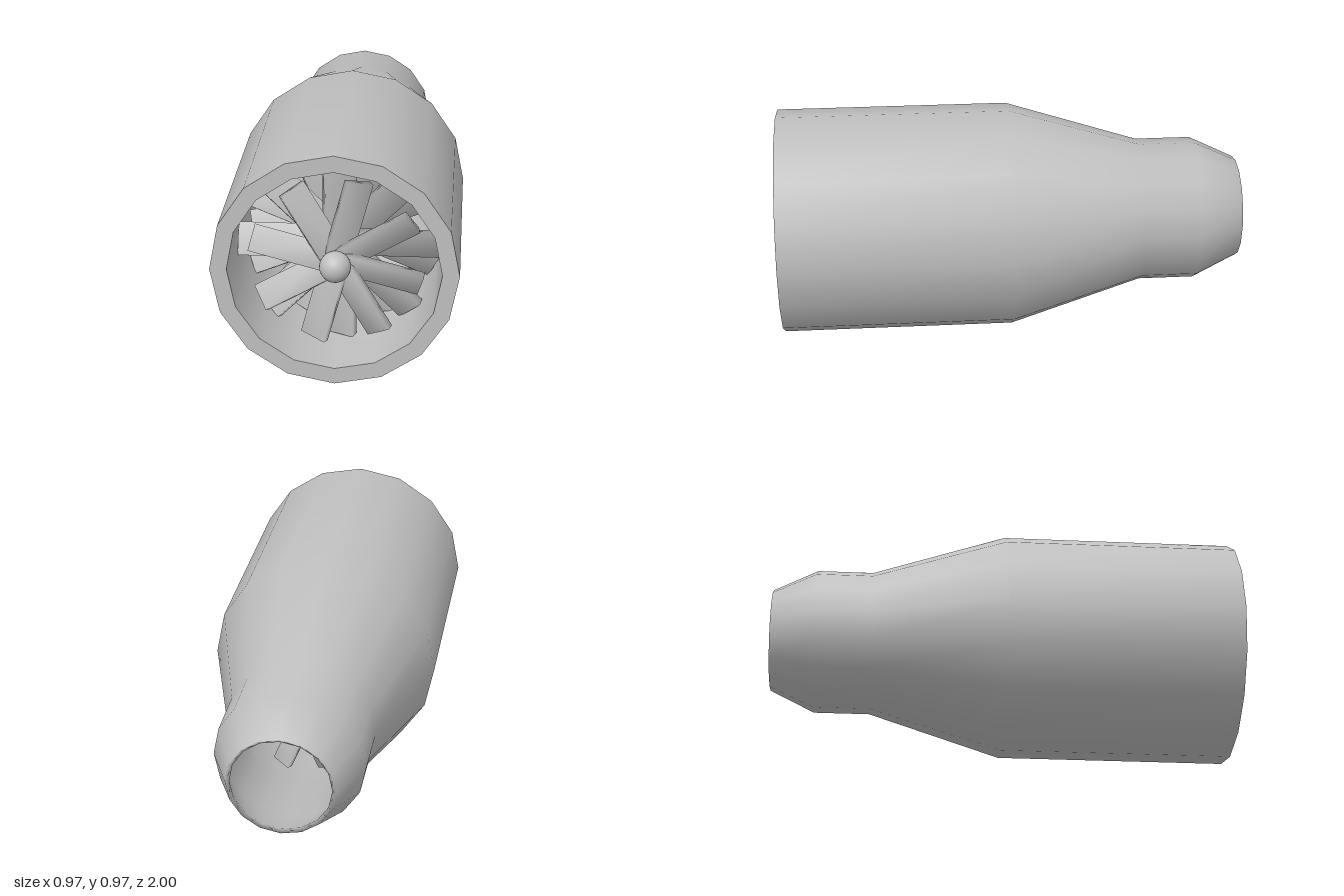
import * as THREE from 'three';
import { mergeVertices } from 'three/addons/utils/BufferGeometryUtils.js';

const metal = new THREE.MeshStandardMaterial({ color: 0xbfbfbf });
metal.name = 'bare metal';

const CENTRE_Y = 0.486;
const SIDES = 16;

// Turned part along z, from [radius, z] pairs
function turned(name, profile) {
  const geo = new THREE.LatheGeometry(profile.map(([r, z]) => new THREE.Vector2(r, z)), SIDES);
  geo.rotateX(Math.PI / 2);
  const mesh = new THREE.Mesh(geo, metal);
  mesh.name = name;
  return mesh;
}

// Slab with softened normals, pitched about its length and pointing along +x
function bladeGeometry(rootR, tipR, width, thickness, pitch) {
  let geo = new THREE.BoxGeometry(tipR - rootR, width, thickness);
  geo.deleteAttribute('normal');
  geo.deleteAttribute('uv');
  geo = mergeVertices(geo);
  geo.computeVertexNormals();
  geo.rotateX(pitch);
  geo.translate((rootR + tipR) / 2, 0, 0);
  return geo;
}

// Ring of blades at one station along the shaft
function bladeRow(name, { z, count, start, tip, width, pitch = 0.45 }) {
  const row = new THREE.Group();
  row.name = name;
  const geo = bladeGeometry(0.02, tip, width, 0.03, pitch);
  for (let i = 0; i < count; i++) {
    const blade = new THREE.Mesh(geo, metal);
    blade.name = 'blade';
    blade.rotation.z = THREE.MathUtils.degToRad(start) + (i * Math.PI * 2) / count;
    row.add(blade);
  }
  row.position.z = z;
  return row;
}

export function createModel() {
  const model = new THREE.Group();
  model.name = 'jetEngine';
  const engine = new THREE.Group();
  engine.name = 'engine';
  engine.position.y = CENTRE_Y;
  model.add(engine);

  // Casing: inner duct front to back, then outer skin back to front
  engine.add(turned('casing', [
    [0.418, 0.993], [0.418, 0], [0.27, -0.57], [0.27, -0.81], [0.205, -0.99],
    [0.22, -1], [0.31, -0.81], [0.31, -0.57], [0.485, 0], [0.485, 0.993],
  ]));
  // Flat intake lip
  engine.add(turned('intakeLip', [[0.485, 0.993], [0.418, 0.993]]));

  // Spinner and shaft
  const spinner = new THREE.Mesh(new THREE.SphereGeometry(0.062, 24, 16), metal);
  spinner.name = 'spinner';
  spinner.position.z = 0.938;
  engine.add(spinner);
  engine.add(turned('shaft', [[0, -0.52], [0.04, -0.52], [0.04, 0.93]]));

  // Fan, compressor rows and rear turbine
  engine.add(bladeRow('frontFan', { z: 0.88, count: 8, start: 30, tip: 0.345, width: 0.11 }));
  engine.add(bladeRow('compressorRow1', { z: 0.7, count: 8, start: 0, tip: 0.41, width: 0.135 }));
  engine.add(bladeRow('compressorRow2', { z: 0.55, count: 8, start: 22.5, tip: 0.41, width: 0.135 }));
  engine.add(bladeRow('compressorRow3', { z: 0.4, count: 8, start: 11.25, tip: 0.4, width: 0.135 }));
  engine.add(bladeRow('rearTurbine', { z: -0.48, count: 8, start: 22.5, tip: 0.25, width: 0.08 }));

  return model;
}
